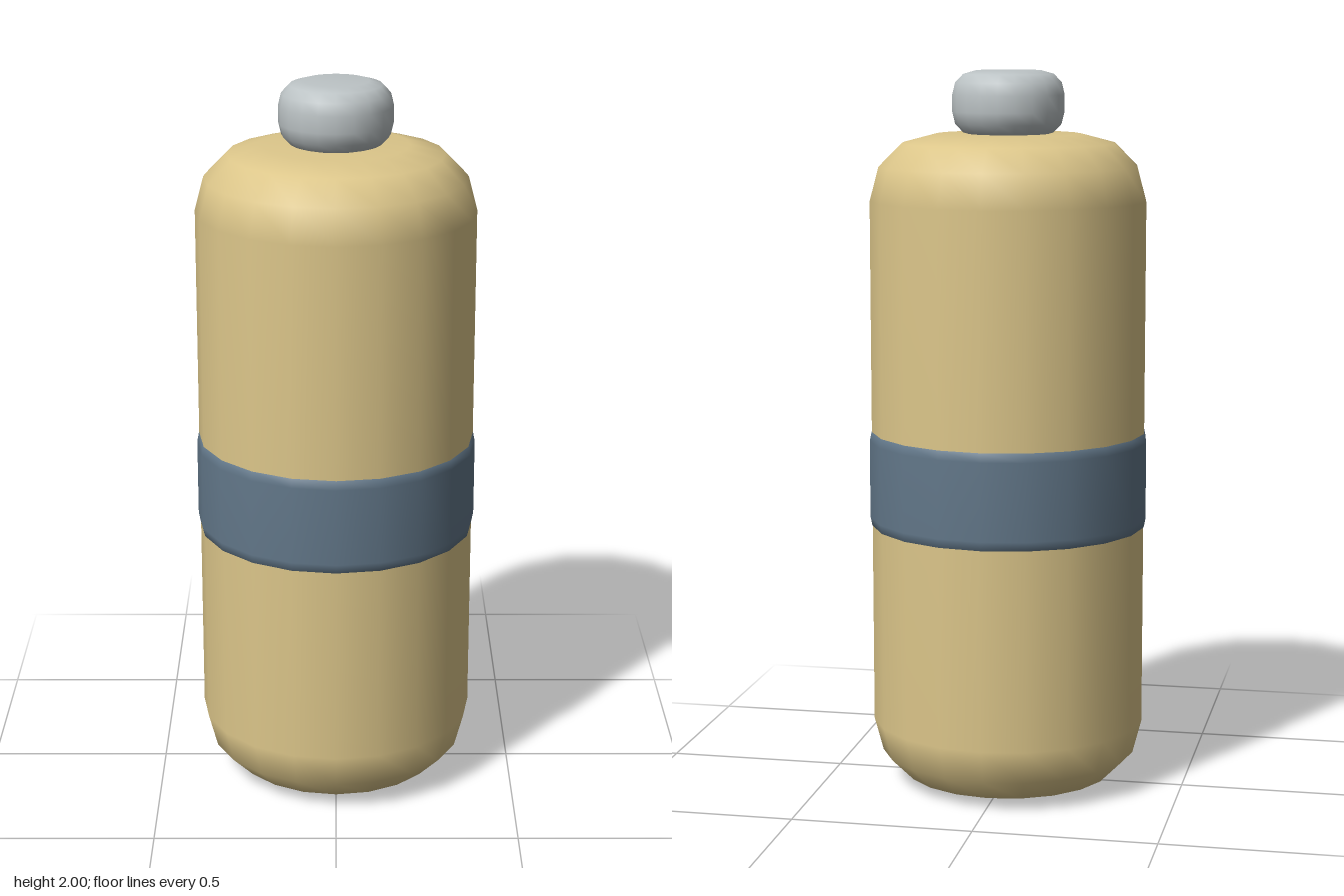
import * as THREE from 'three';

const SIDES = 20;

// Lathe a list of [radius, height] points, bottom to top
function turned(name, profile, color) {
  const points = profile.map(([r, y]) => new THREE.Vector2(r, y));
  const mesh = new THREE.Mesh(
    new THREE.LatheGeometry(points, SIDES),
    new THREE.MeshStandardMaterial({ color })
  );
  mesh.name = name;
  return mesh;
}

// Closed cylinder profile with rounded rims: corner is a list of [radius, inset]
function roundedProfile(bottom, top, corner) {
  const lower = corner.map(([r, d]) => [r, bottom + d]);
  const upper = corner.map(([r, d]) => [r, top - d]).reverse();
  return [[0, bottom], ...lower, ...upper, [0, top]];
}

export function createModel() {
  const model = new THREE.Group();
  model.name = 'canister';

  // Tall body with softly rounded ends
  const bodyCorner = [[0.2, 0], [0.295, 0.025], [0.358, 0.088], [0.383, 0.182]];
  model.add(turned('body', roundedProfile(0, 1.828, bodyCorner), 0xdcc68a));

  // Thin band wrapped around the middle
  const band = [[0.375, 0.74], [0.384, 0.74], [0.389, 0.765], [0.389, 0.98], [0.384, 1.005], [0.375, 1.005]];
  model.add(turned('band', band, 0x627789));

  // Small rounded cap
  const capCorner = [[0.09, 0], [0.125, 0.01], [0.147, 0.033], [0.155, 0.066]];
  model.add(turned('cap', roundedProfile(1.822, 2, capCorner), 0xbcc3c5));

  return model;
}
